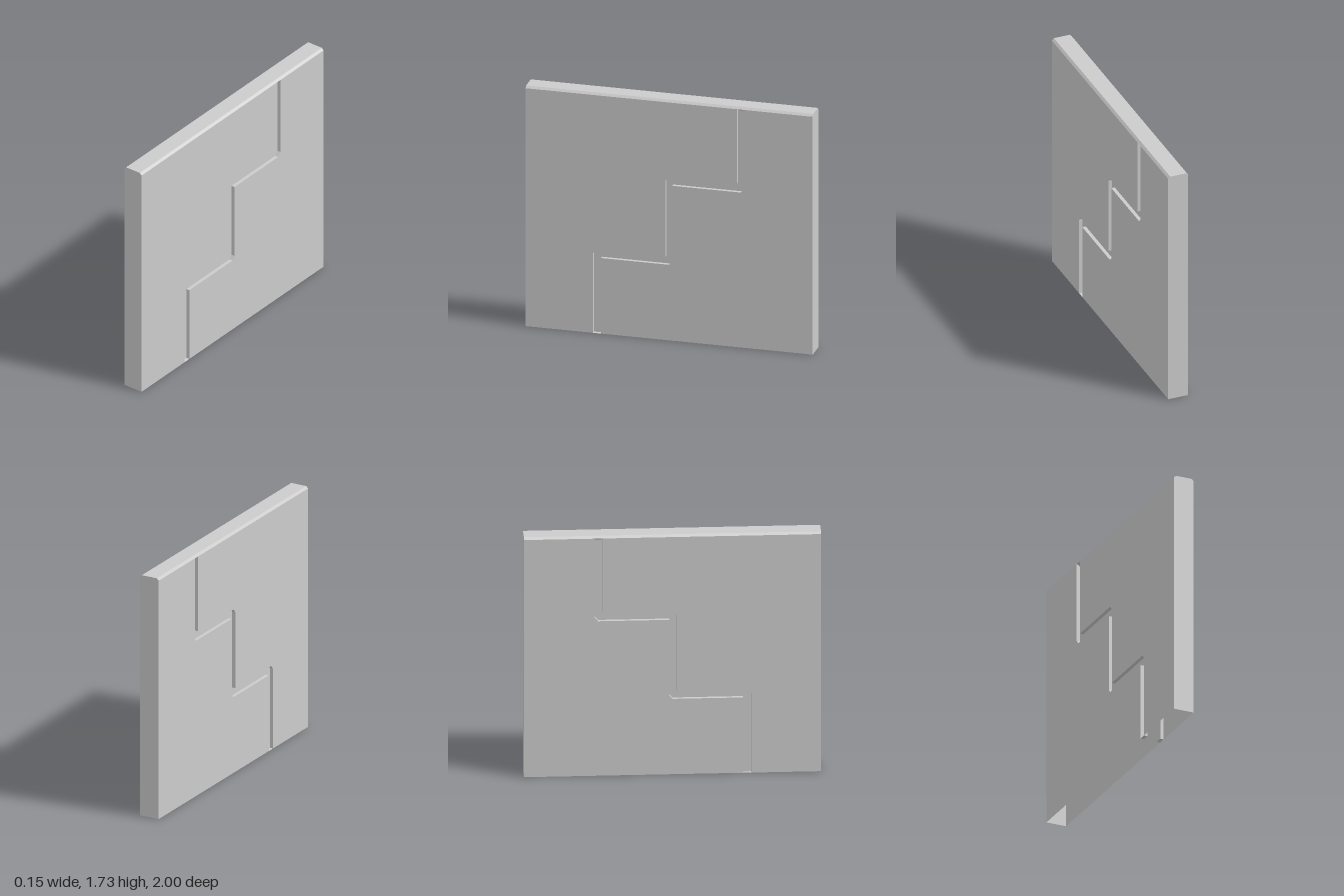
import * as THREE from 'three';

const HALF = 0.073, TOP = 1.73, EDGE = 1.715, BEVEL = 0.015, DEPTH = 0.025, GROOVE_TOP = 1.7;

// Stepped groove edges on the wide face as [u, y], where u = -z
const frontEdge = [[-0.53, 0], [-0.53, 0.575], [-0.505, 0.602], [-0.025, 0.602],
  [-0.025, 1.15], [0, 1.177], [0.472, 1.177], [0.472, EDGE]];
const backEdge = [[-0.475, 0], [0, 0.545], [0.022, 0.57], [0.022, 1.117],
  [0.5, 1.117], [0.525, 1.145], [0.525, EDGE]];
backEdge.splice(1, 0, [-0.475, 0.545]);

const material = new THREE.MeshStandardMaterial({
  color: 0xcccccc, flatShading: true, side: THREE.DoubleSide,
});

function mesh(name, geometry) {
  const m = new THREE.Mesh(geometry, material);
  m.name = name;
  return m;
}

function shape(points) {
  return new THREE.Shape(points.map(([a, b]) => new THREE.Vector2(a, b)));
}

// Flat quads, each given as four corners counter-clockwise from outside
function quads(list) {
  const g = new THREE.BufferGeometry();
  const pos = list.flatMap(([a, b, c, d]) => [a, b, c, a, c, d].flat());
  g.setAttribute('position', new THREE.Float32BufferAttribute(pos, 3));
  g.computeVertexNormals();
  return g;
}

// One wide face with its recessed stepped groove, on the +x side
function wideFace() {
  const side = new THREE.Group();
  const place = (points, x) =>
    new THREE.ShapeGeometry(shape(points)).rotateY(Math.PI / 2).translate(x, 0, 0);

  // panel surface before and behind the groove
  side.add(mesh('frontPanel', place([[-1, 0], ...frontEdge, [-1, EDGE]], HALF)));
  side.add(mesh('backPanel', place([...backEdge, [1, EDGE], [1, 0]], HALF)));

  // groove floor, ending below a sloped upper cap
  const outline = [...frontEdge, ...[...backEdge].reverse()];
  const inner = outline.map(([u, y]) => [u, Math.min(y, GROOVE_TOP)]);
  side.add(mesh('grooveFloor', place(inner, HALF - DEPTH)));

  // groove walls and end caps
  const walls = outline.map((p, i) => {
    const j = (i + 1) % outline.length;
    const out = (k) => [HALF, outline[k][1], -outline[k][0]];
    const deep = (k) => [HALF - DEPTH, inner[k][1], -inner[k][0]];
    return [out(i), deep(i), deep(j), out(j)];
  });
  side.add(mesh('grooveWalls', quads(walls)));
  return side;
}

export function createModel() {
  const model = new THREE.Group();
  model.name = 'groovedWall';

  // wide faces, mirrored
  for (const s of [1, -1]) {
    const side = wideFace();
    side.name = s > 0 ? 'leftFace' : 'rightFace';
    side.scale.x = s;
    model.add(side);
  }

  // bevelled top; the underside stays open
  const cap = [[HALF, EDGE], [HALF - BEVEL, TOP], [-HALF + BEVEL, TOP], [-HALF, EDGE]];
  model.add(mesh('bevelledTop', quads(cap.slice(1).map((q, i) => {
    const p = cap[i];
    return [[...p, 1], [...p, -1], [...q, -1], [...q, 1]];
  }))));

  // narrow ends
  const profile = shape([[-HALF, 0], [HALF, 0], ...cap]);
  const front = mesh('frontEnd', new THREE.ShapeGeometry(profile));
  front.position.z = 1;
  const back = mesh('backEnd', new THREE.ShapeGeometry(profile));
  back.rotation.y = Math.PI;
  back.position.z = -1;
  model.add(front, back);
  return model;
}
